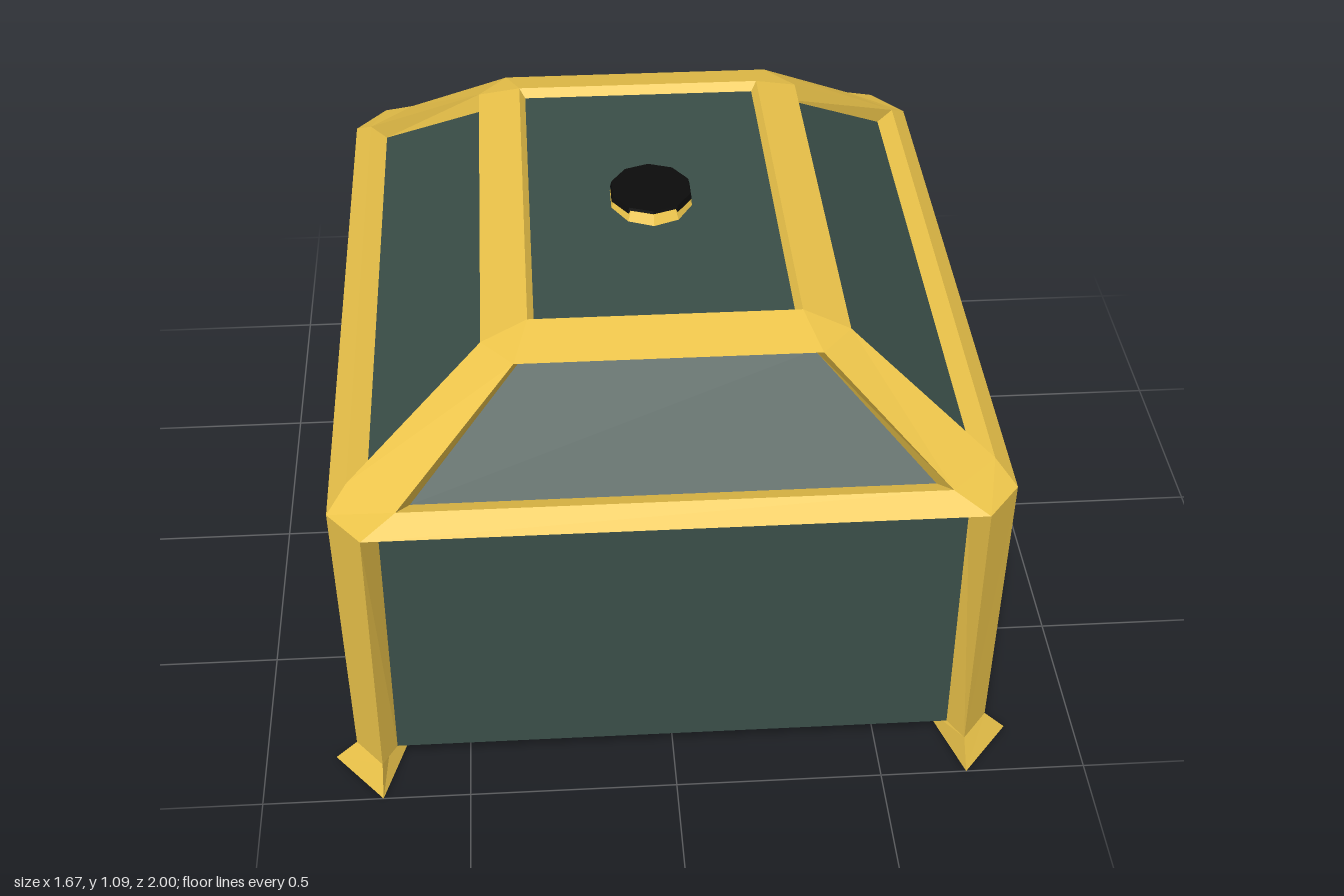
import * as THREE from 'three';

const paint = (color) => new THREE.MeshStandardMaterial({ color, flatShading: true });

export function createModel() {
  const gold = paint(0xecc44a), teal = paint(0x3a4e48), black = paint(0x0c0c0c);
  const chest = new THREE.Group();
  chest.name = 'chest';

  const add = (name, geometry, material, parent = chest) => {
    const mesh = new THREE.Mesh(geometry, material);
    mesh.name = name;
    parent.add(mesh);
    return mesh;
  };

  // Flat faces from counter-clockwise corner loops
  const faces = (polys, map = (p) => p, flip = false) => {
    const pos = [];
    for (const poly of polys) {
      const c = poly.map(map);
      if (flip) c.reverse();
      for (let i = 1; i < c.length - 1; i++) pos.push(...c[0], ...c[i], ...c[i + 1]);
    }
    const g = new THREE.BufferGeometry();
    g.setAttribute('position', new THREE.Float32BufferAttribute(pos, 3));
    g.computeVertexNormals();
    return g;
  };

  // Trapezoid from [half width, y, depth] of its lower and upper edge
  const trapezoid = ([u0, y0, w0], [u1, y1, w1]) =>
    [[-u0, y0, w0], [u0, y0, w0], [u1, y1, w1], [-u1, y1, w1]];
  // Bevels between an outer and an inner trapezoid
  const bevels = (outer, inner, which) => which.map((i) => {
    const j = (i + 1) % 4;
    return [outer[i], outer[j], inner[j], inner[i]];
  });

  // Frame and panel edges: [half width, y, depth]
  const front = {
    post: [0.71, 0.06, 0.945], rim: [0.71, 0.78, 0.96],
    lidLow: [0.63, 0.82, 0.91], lidHigh: [0.355, 1.04, 0.665], crown: [0.32, 1.075, 0.54],
    base: [0.68, 0.03, 0.85], sill: [0.72, 0.065, 0.89],
    wallLow: [0.675, 0.065, 0.89], wallHigh: [0.675, 0.74, 0.89],
    slopeLow: [0.6, 0.8, 0.86], slopeHigh: [0.34, 1.015, 0.62], roof: [0.305, 1.055, 0.52],
  };
  const side = {
    post: [0.865, 0.06, 0.775], rim: [0.86, 0.78, 0.79],
    lidLow: [0.8, 0.82, 0.745], lidHigh: [0.575, 1.04, 0.43], crown: [0.54, 1.075, 0.32],
    base: [0.85, 0.03, 0.68], sill: [0.89, 0.065, 0.72],
    wallLow: [0.82, 0.065, 0.72], wallHigh: [0.82, 0.74, 0.72],
    slopeLow: [0.77, 0.8, 0.7], slopeHigh: [0.54, 1.015, 0.4], roof: [0.52, 1.055, 0.305],
  };

  // Four sides, each turned a quarter further
  ['front', 'left', 'back', 'right'].forEach((label, k) => {
    const d = k % 2 ? side : front;
    const turn = ([u, y, w]) => [[u, y, w], [w, y, -u], [-u, y, -w], [-w, y, u]][k];
    const wall = trapezoid(d.wallLow, d.wallHigh);
    const slope = trapezoid(d.slopeLow, d.slopeHigh);
    add(label + 'Wall', faces([wall], turn), teal);
    add(label + 'LidPanel', faces([slope], turn), teal);
    add(label + 'Frame', faces([
      trapezoid(d.base, d.sill),
      ...bevels(trapezoid(d.post, d.rim), wall, [1, 2, 3]),
      trapezoid(d.rim, d.lidLow),
      ...bevels(trapezoid(d.lidLow, d.lidHigh), slope, [0, 1, 2, 3]),
      trapezoid(d.lidHigh, d.crown),
      trapezoid(d.crown, d.roof),
    ], turn), gold);
  });

  // Roof and bottom panels
  const rect = (x, y, z) => [[-x, y, z], [x, y, z], [x, y, -z], [-x, y, -z]];
  add('roofPanel', faces([rect(...front.roof)]), teal);
  add('bottom', faces([rect(...front.base).reverse()]), teal);

  // Corner posts with lid ribs, and flared feet, mirrored to four corners
  const edge = (key) => {
    const [u, y, w] = side[key];
    return [front[key], [w, y, u]];
  };
  const strip = (lower, upper) => {
    const [a, b] = edge(lower), [c, e] = edge(upper);
    return [a, b, e, c];
  };
  const foot = [[0.71, 0, 1], [0.83, 0, 0.855], [0.64, 0, 0.77]];
  const ankle = [...edge('post'), [0.69, 0.06, 0.84]];
  const footFaces = [[foot[1], foot[0], foot[2]], ankle];
  for (let i = 0; i < 3; i++) {
    const j = (i + 1) % 3;
    footFaces.push([foot[i], foot[j], ankle[j], ankle[i]]);
  }
  for (const sx of [1, -1]) for (const sz of [1, -1]) {
    const label = (sz > 0 ? 'front' : 'back') + (sx > 0 ? 'Left' : 'Right');
    const mirror = ([x, y, z]) => [sx * x, y, sz * z];
    const flip = sx * sz < 0;
    add(label + 'Post', faces([
      strip('post', 'rim'), strip('rim', 'lidLow'), strip('lidLow', 'lidHigh'),
      [...edge('lidHigh'), front.crown],
    ], mirror, flip), gold);
    add(label + 'Foot', faces(footFaces, mirror, flip), gold);
  }

  // Diamond plates with faceted knobs on both sides
  const lathe = (profile, sides) => new THREE.LatheGeometry(
    profile.map(([r, y]) => new THREE.Vector2(r, y)), sides);
  for (const s of [1, -1]) {
    const emblem = new THREE.Group();
    emblem.name = s > 0 ? 'leftEmblem' : 'rightEmblem';
    const plate = lathe([[0.37, 0.71], [0.37, 0.77], [0.345, 0.786], [0, 0.786]], 4);
    add('diamondPlate', plate.rotateZ(-Math.PI / 2).scale(1, 0.49, 1), gold, emblem);
    const knob = lathe([[0.08, 0.78], [0.105, 0.8], [0.105, 0.815], [0.085, 0.835], [0, 0.835]], 10);
    add('knob', knob.rotateZ(-Math.PI / 2).scale(1, 0.88, 1), black, emblem);
    emblem.position.y = 0.4;
    if (s < 0) emblem.rotation.y = Math.PI;
    chest.add(emblem);
  }

  // Oval stud on the roof
  add('studRing', lathe([[0.136, 1.05], [0.118, 1.078], [0, 1.078]], 10).scale(0.8, 1, 1), gold);
  add('stud', lathe([[0.117, 1.07], [0.113, 1.085], [0, 1.085]], 10).scale(0.9, 1, 1), black);

  return chest;
}
